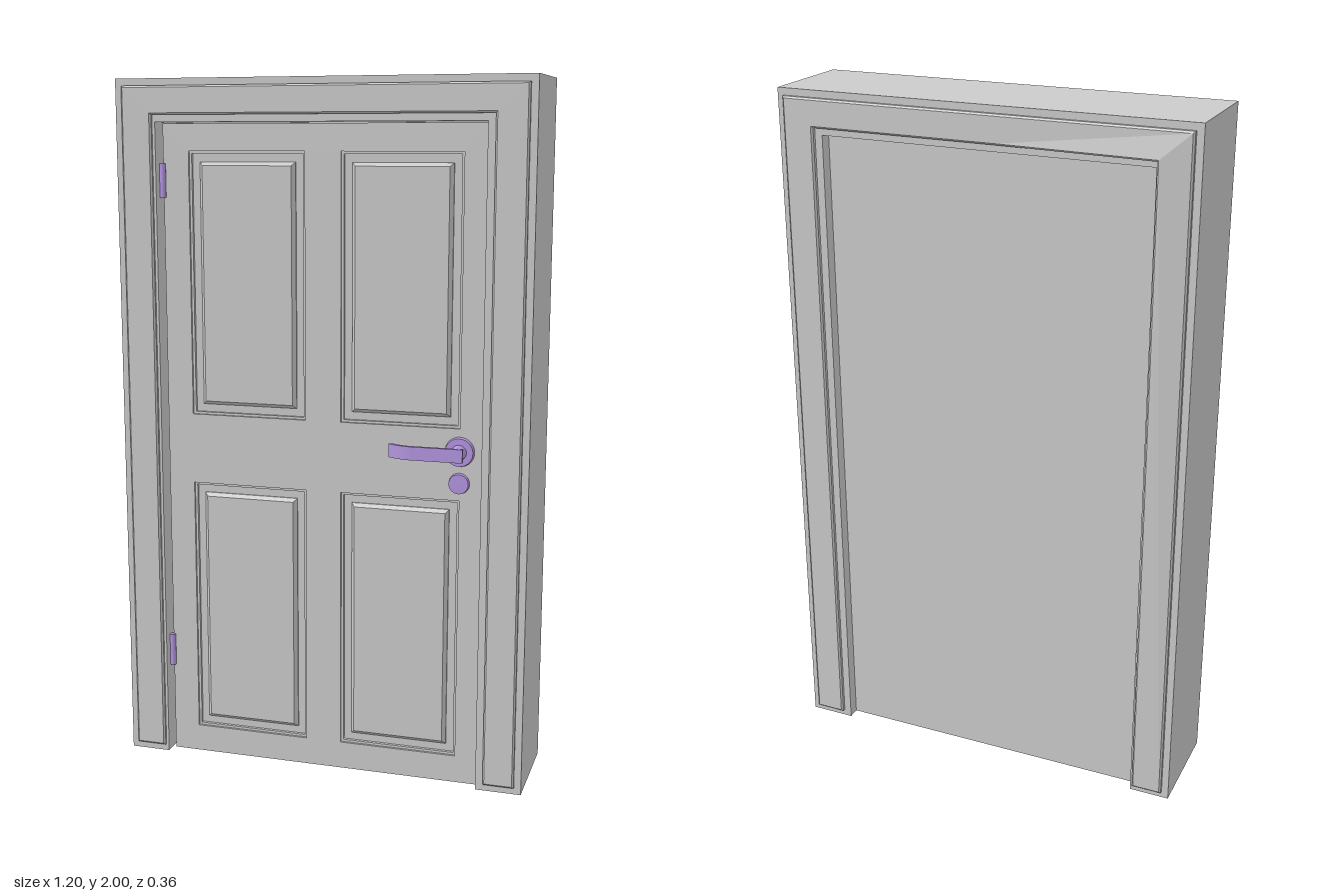
import * as THREE from 'three';

const grey = new THREE.MeshStandardMaterial({ color: 0xcccccc, side: THREE.DoubleSide });
const metal = new THREE.MeshStandardMaterial({ color: 0xb296e0 });

const add = (parent, name, geometry, material = grey) => {
  const mesh = new THREE.Mesh(geometry, material);
  mesh.name = name;
  parent.add(mesh);
  return mesh;
};

const polygon = (pts) => new THREE.Shape(pts.map(([x, y]) => new THREE.Vector2(x, y)));
const rect = (x0, y0, x1, y1) => polygon([[x0, y0], [x1, y0], [x1, y1], [x0, y1]]);

// Upside-down U: two legs joined by a head
const arch = (outer, top, left, right, innerTop, bottom) => polygon([
  [-outer, bottom], [left, bottom], [left, innerTop], [0.05, innerTop], [right, innerTop],
  [right, bottom], [outer, bottom], [outer, top], [0.05, top], [-outer, top],
]);

// Extrusion between two z planes, optionally with a chamfer kept inside the outline
const slab = (shape, z0, z1, bevel = 0) => new THREE.ExtrudeGeometry(shape, {
  depth: z1 - z0 - 2 * bevel, bevelEnabled: bevel > 0, bevelSize: bevel,
  bevelThickness: bevel, bevelOffset: -bevel, bevelSegments: 1, curveSegments: 12,
}).translate(0, 0, z0 + bevel);

const trimShape = () => arch(0.58, 1.98, -0.49, 0.49, 1.9, 0.02);

function makeFrame() {
  const frame = new THREE.Group();
  frame.name = 'frame';
  add(frame, 'jambsAndHead', slab(arch(0.6, 2, -0.482, 0.468, 1.88, 0), -0.155, 0.15));
  add(frame, 'frontTrim', slab(trimShape(), 0.13, 0.161, 0.005));

  // Back trim, warped outwards at one inner corner
  const back = slab(trimShape(), 0.13, 0.169, 0.005);
  const p = back.attributes.position;
  for (let i = 0; i < p.count; i++) {
    const near = Math.hypot(p.getX(i) - 0.49, p.getY(i) - 1.9) < 0.02;
    if (near && p.getZ(i) > 0.15) p.setZ(i, p.getZ(i) + 0.013);
  }
  back.computeVertexNormals();
  add(frame, 'backTrim', back.rotateY(Math.PI));
  add(frame, 'backPanel', slab(rect(-0.482, 0, 0.468, 1.88), -0.12, -0.02));
  return frame;
}

function makeDoor() {
  const door = new THREE.Group();
  door.name = 'door';
  const face = 0.118;
  const leaf = rect(-0.472, 0, 0.464, 1.876);
  add(door, 'doorCore', slab(rect(-0.472, 0, 0.464, 1.876), 0.06, 0.102));

  // Four recessed panels with raised, chamfered fields
  for (const [x0, x1] of [[-0.395, -0.05], [0.055, 0.4]]) {
    for (const [y0, y1] of [[0.08, 0.84], [1.045, 1.8]]) {
      leaf.holes.push(rect(x0, y0, x1, y1));
      const moulding = rect(x0, y0, x1, y1);
      moulding.holes.push(rect(x0 + 0.007, y0 + 0.007, x1 - 0.007, y1 - 0.007));
      add(door, 'panelMoulding', slab(moulding, 0.1, 0.111));
      const e = 0.03;
      add(door, 'raisedPanel', slab(rect(x0 + e, y0 + e, x1 - e, y1 - e), 0.09, 0.116, 0.01));
    }
  }
  add(door, 'stilesAndRails', slab(leaf, 0.1, face));

  // Hinges
  for (const y of [0.317, 1.717]) {
    add(door, 'hinge', new THREE.CylinderGeometry(0.009, 0.009, 0.096, 12), metal)
      .position.set(-0.473, y, face + 0.004);
  }
  return door;
}

function makeHandle() {
  const handle = new THREE.Group();
  handle.name = 'handle';
  const disc = (name, r, y, z0, z1) => {
    add(handle, name, new THREE.CylinderGeometry(r * 0.9, r, z1 - z0, 28).rotateX(Math.PI / 2), metal)
      .position.set(0.4, y, (z0 + z1) / 2);
  };
  disc('handleRose', 0.044, 0.98, 0.11, 0.13);
  disc('handleNeck', 0.022, 0.98, 0.12, 0.172);
  disc('lockCylinder', 0.031, 0.89, 0.11, 0.13);

  // Lever: plan outline whose tip curves back towards the door
  const plan = new THREE.Shape();
  plan.moveTo(0.42, 0.167);
  plan.lineTo(0.42, 0.179);
  plan.lineTo(0.275, 0.179);
  plan.quadraticCurveTo(0.24, 0.178, 0.205, 0.153);
  plan.lineTo(0.212, 0.144);
  plan.quadraticCurveTo(0.245, 0.167, 0.275, 0.167);
  plan.closePath();
  add(handle, 'lever', slab(plan, -0.019, 0.019).rotateX(Math.PI / 2), metal).position.y = 0.98;
  return handle;
}

export function createModel() {
  const model = new THREE.Group();
  model.name = 'panelledDoor';
  model.add(makeFrame(), makeDoor(), makeHandle());
  return model;
}
